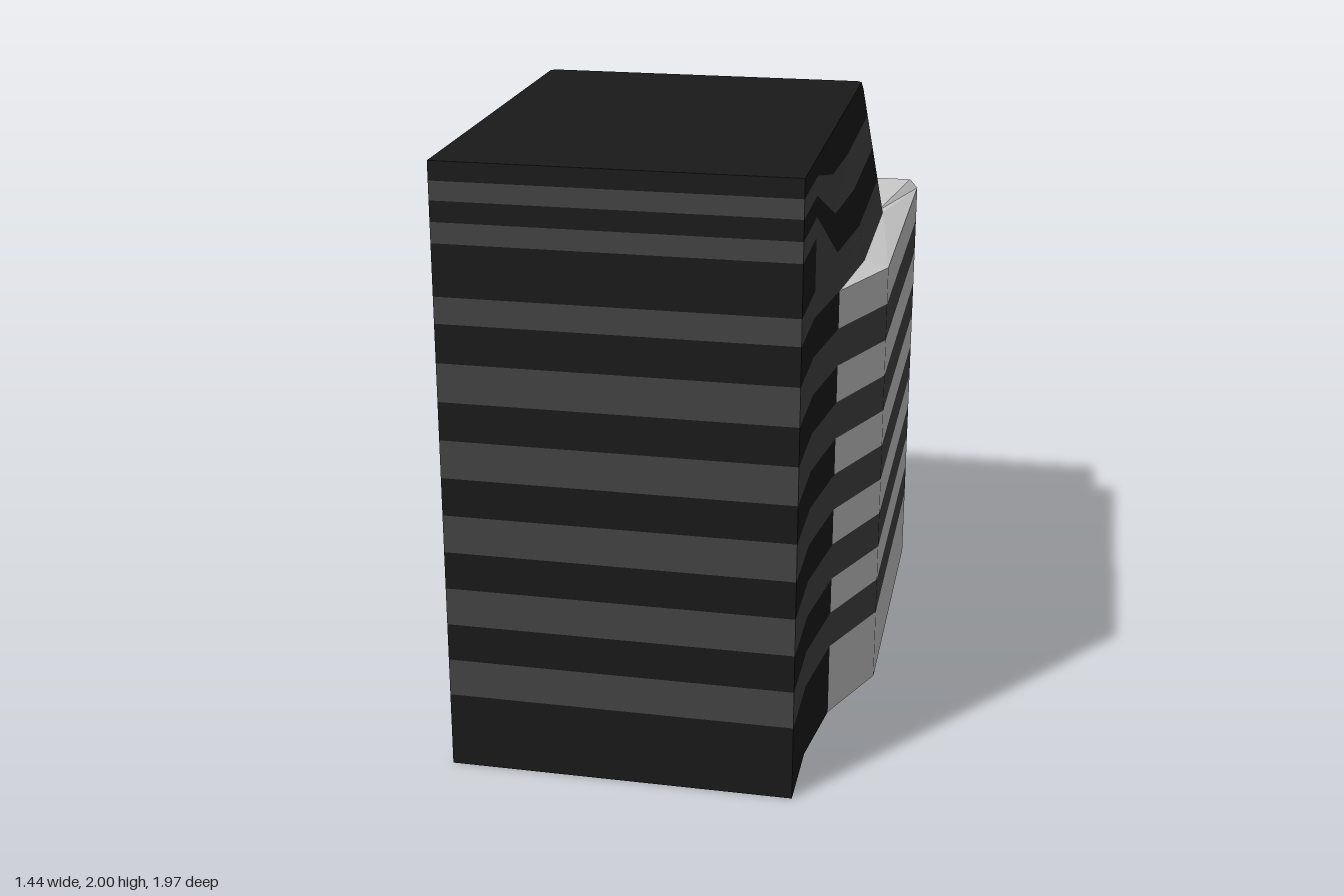
import * as THREE from 'three';

const BLACK = 0x1a1a1a, DARK = 0x444444, LIGHT = 0xcccccc;

// Right-angle mirror: a half outline (front to rear on +x) becomes a closed ring of 12 points.
const ring = half => [...half, ...half.map(([x, y, z]) => [-x, y, z]).reverse()];

// Segments 0..4 run back along +x, 5 is the rear, 6..10 return along -x, 11 is the front.
const side = i => (i === 11 ? -1 : Math.min(i, 10 - i));

export function createModel() {
  const model = new THREE.Group();
  const parts = new Map();

  const quad = (name, color, a, b, c, d) => {
    const key = name + color;
    if (!parts.has(key)) parts.set(key, { name, color, pos: [] });
    parts.get(key).pos.push(...a, ...b, ...c, ...a, ...c, ...d);
  };
  // Wall between two rings; paint(s) gives [name, color] or null for each segment
  const wall = (lo, hi, paint) => {
    for (let i = 0; i < 12; i++) {
      const p = paint(side(i)), j = (i + 1) % 12;
      if (p) quad(...p, lo[i], lo[j], hi[j], hi[i]);
    }
  };
  const cap = (r, name, color, up) => {
    for (let i = 0; i < 5; i++) {
      const q = [r[i], r[i + 1], r[10 - i], r[11 - i]];
      quad(name, color, ...(up ? q : q.reverse()));
    }
  };

  // Lower block: narrow front, flared middle, wide rear with chamfered corners
  const plan = [[0.555, 0.98], [0.555, 0.70], [0.595, 0.41], [0.72, 0.12], [0.72, -0.96], [0.69, -0.985]];
  const bodyRing = (y, rearLift = 0, rearZ = -0.985) =>
    ring(plan.map(([x, z], k) => [x, k === 5 ? y + rearLift : y, Math.max(z, rearZ)]));
  const plain = s => (s < 2 ? ['frontWall', BLACK] : ['rearWall', LIGHT]);
  const stripe = () => ['windowBand', DARK];

  const base = bodyRing(0, 0, -0.96);
  cap(base, 'underside', BLACK, false);
  wall(base, bodyRing(0.025), plain);
  wall(bodyRing(0.025), bodyRing(0.25), plain);
  for (let k = 1; k <= 5; k++) {
    const y = k * 0.25;
    const next = k === 5 ? bodyRing(1.5, 0.025) : bodyRing(y + 0.25);
    wall(bodyRing(y), bodyRing(y + 0.125), stripe);
    wall(bodyRing(y + 0.125), next, plain);
  }

  // Tower: tapers inward to a rectangular top, with bands that step down along the sides
  const foot = [[0.555, 0.98], [0.555, 0.70], [0.595, 0.41], [0.64, 0.12], [0.64, -0.46], [0.62, -0.478]];
  const crown = [[0.555, 0.98], [0.555, 0.70], [0.555, 0.41], [0.555, 0.12], [0.555, -0.44], [0.54, -0.457]];
  const frontY = [1.5, 1.585, 1.75, 1.815, 1.88, 1.94, 1.975, 2];
  const middleY = [1.5, 1.54, 1.59, 1.625, 1.75, 1.875, 1.975, 2];
  const flareY = [1.52, 1.56, 1.6, 1.635, 1.755, 1.875, 1.975, 2];
  const rearY = [1.53, 1.57, 1.61, 1.65, 1.765, 1.88, 1.975, 2];
  const levels = [frontY, frontY, middleY, flareY, rearY, rearY];
  const towerRing = n => ring(foot.map(([x, z], k) => {
    const y = levels[k][n], y0 = levels[k][0], t = (y - y0) / (2 - y0);
    const cx = crown[k][0], cz = crown[k][1];
    const bevel = n === 7 && k > 3 ? 0.02 : 0;
    return [x + (cx - x) * t, y, z + (cz - z) * t + bevel];
  }));
  const bandColors = [DARK, DARK, DARK, BLACK, DARK, BLACK, BLACK];
  bandColors.forEach((color, n) => {
    // The front window wraps onto the first side panel only
    wall(towerRing(n), towerRing(n + 1), s =>
      n === 1 && s < 1 ? ['frontWindow', BLACK] : ['towerBand', color]);
  });
  cap(towerRing(7), 'towerRoof', BLACK, true);

  // Low sloping roof from the block's rim up to the foot of the tower
  wall(bodyRing(1.5, 0.025), towerRing(0), s => (s < 2 ? null : ['lowerRoof', LIGHT]));

  for (const { name, color, pos } of parts.values()) {
    const geometry = new THREE.BufferGeometry();
    geometry.setAttribute('position', new THREE.Float32BufferAttribute(pos, 3));
    geometry.computeVertexNormals();
    const mesh = new THREE.Mesh(geometry, new THREE.MeshStandardMaterial({ color, flatShading: true }));
    mesh.name = name;
    model.add(mesh);
  }
  return model;
}
